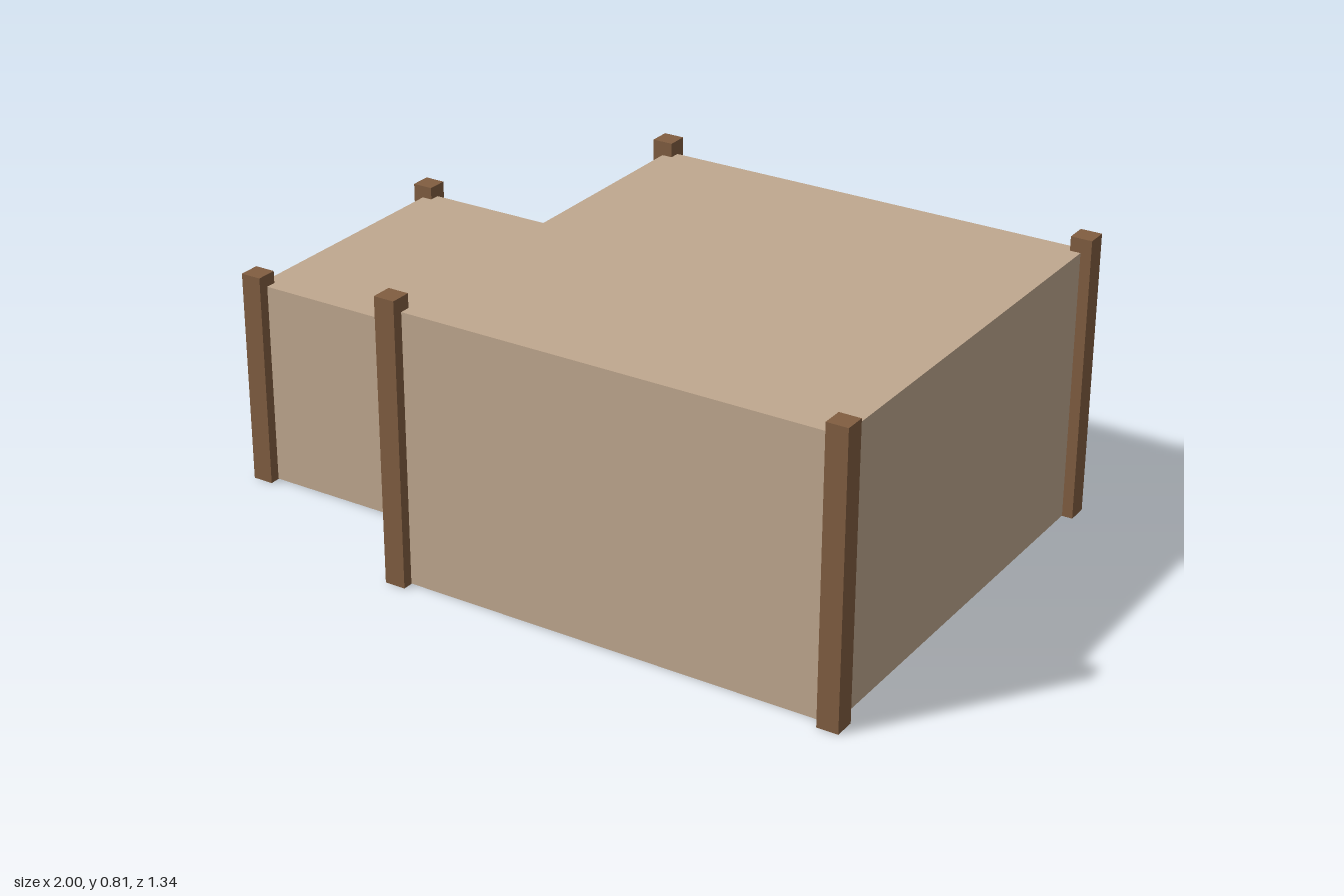
import * as THREE from 'three';

export function createModel() {
  const model = new THREE.Group();
  model.name = 'house';
  const wall = new THREE.MeshStandardMaterial({ name: 'beige wall', color: 0xc0a88f });
  const timber = new THREE.MeshStandardMaterial({ name: 'brown timber', color: 0x815e41 });
  const post = 0.06;
  const lift = 0.001; // keeps the walls' underside just clear of the post feet

  // box given by its x and z ranges and its height range
  function addBox(name, material, [x0, x1], [z0, z1], [y0, y1]) {
    const mesh = new THREE.Mesh(new THREE.BoxGeometry(x1 - x0, y1 - y0, z1 - z0), material);
    mesh.position.set((x0 + x1) / 2, (y0 + y1) / 2, (z0 + z1) / 2);
    mesh.name = name;
    model.add(mesh);
  }

  // square corner post
  function addPost(name, x, z, height) {
    const h = post / 2;
    addBox(name, timber, [x - h, x + h], [z - h, z + h], [0, height]);
  }

  // main block with four posts
  addBox('mainBlock', wall, [-0.31, 0.97], [-0.64, 0.64], [lift, 0.77]);
  for (const x of [-0.31, 0.97]) {
    for (const z of [-0.64, 0.64]) addPost('mainPost', x, z, 0.81);
  }

  // lower side wing with two outer posts
  addBox('sideWing', wall, [-0.97, -0.31], [-0.397, 0.37], [lift, 0.58]);
  for (const z of [-0.397, 0.37]) addPost('wingPost', -0.97, z, 0.615);

  return model;
}
